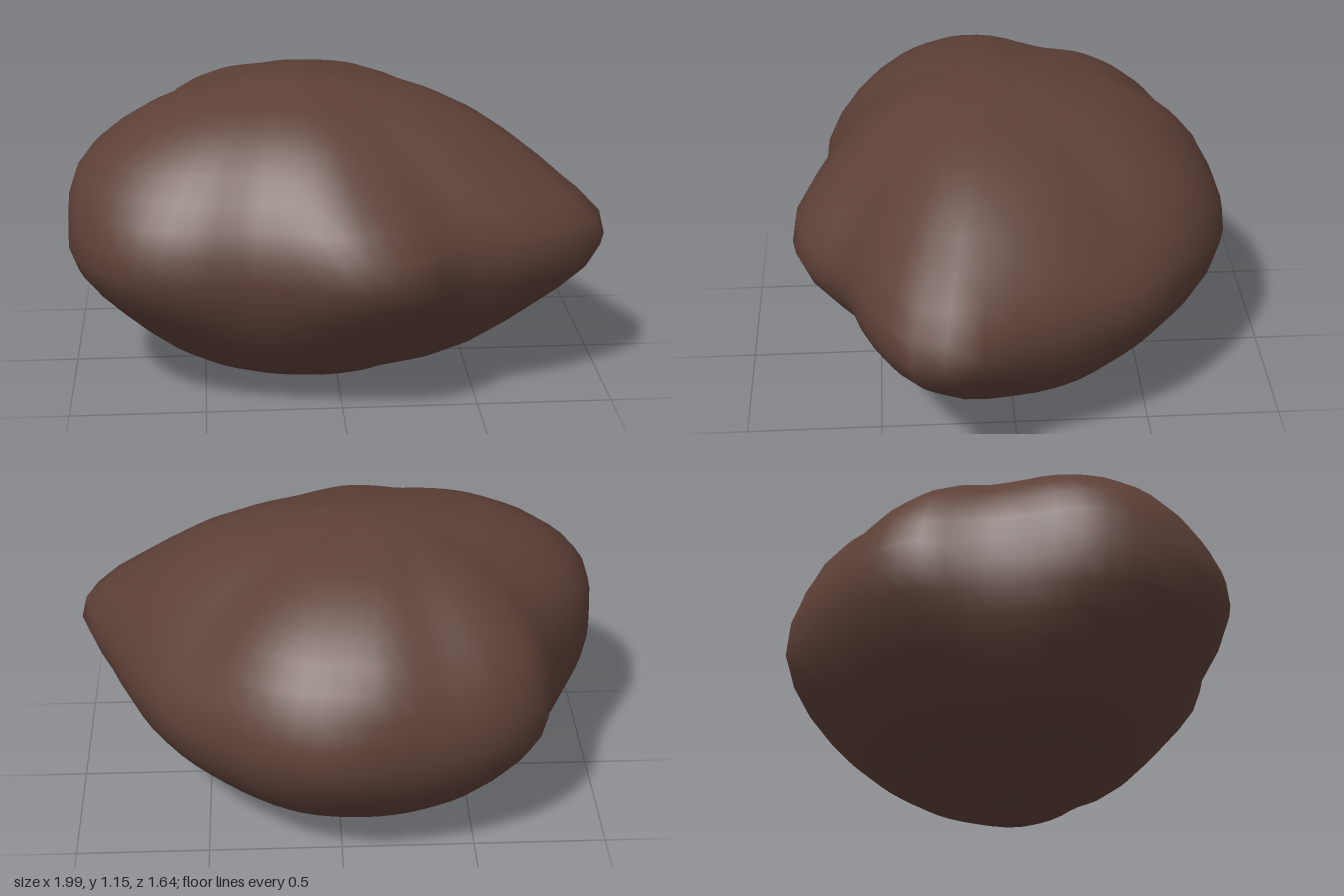
import * as THREE from 'three';
import { mergeVertices } from 'three/addons/utils/BufferGeometryUtils.js';

const HALF_HEIGHT = 0.575;

// Rock outlines at three levels: radius every 15 degrees, from +x towards +z
const UPPER = [
  1.0, 1.05, 0.92, 0.79, 0.745, 0.73, 0.69, 0.67, 0.74, 0.82, 0.89, 0.92,
  0.87, 0.77, 0.74, 0.81, 0.805, 0.785, 0.845, 0.865, 0.90, 0.895, 0.86, 0.92,
];
const WAIST = [
  1.06, 1.20, 1.02, 0.855, 0.865, 0.825, 0.735, 0.70, 0.78, 0.855, 0.875, 0.853,
  0.795, 0.715, 0.715, 0.79, 0.805, 0.80, 0.82, 0.877, 0.896, 0.908, 0.95, 0.978,
];
const LOWER = [
  1.0, 1.03, 0.92, 0.77, 0.74, 0.695, 0.67, 0.67, 0.69, 0.72, 0.75, 0.765,
  0.76, 0.73, 0.71, 0.73, 0.75, 0.76, 0.775, 0.80, 0.84, 0.86, 0.90, 0.96,
];

// Smooth periodic interpolation of an outline
function outlineRadius(outline, angle) {
  const n = outline.length;
  const t = (((angle / (2 * Math.PI)) % 1) + 1) % 1 * n;
  const i = Math.floor(t), f = t - i;
  const [a, b, c, d] = [-1, 0, 1, 2].map((k) => outline[(i + k + n) % n]);
  return b + 0.5 * f * (c - a + f * (2 * a - 5 * b + 4 * c - d + f * (3 * (b - c) + d - a)));
}

// Blend the outlines by height h, from -1 at the base to 1 at the top
function rockRadius(theta, h) {
  const up = THREE.MathUtils.smoothstep(h, 0.06, 0.62);
  const down = 1 - THREE.MathUtils.smoothstep(h, -0.62, 0.06);
  return outlineRadius(WAIST, theta) * (1 - up - down)
    + outlineRadius(UPPER, theta) * up + outlineRadius(LOWER, theta) * down;
}

// Ring latitudes in degrees, with wide steps next to the two flat caps
const RINGS = [0, 9, 27];
for (let p = 36; p <= 144; p += 9) RINGS.push(p);
RINGS.push(153, 171, 180);

function rockGeometry() {
  const rows = RINGS.length - 1;
  const sphere = new THREE.SphereGeometry(1, 60, rows);
  const pos = sphere.attributes.position, uv = sphere.attributes.uv;
  const capCos = Math.cos(THREE.MathUtils.degToRad(9));

  for (let i = 0; i < pos.count; i++) {
    const row = Math.round((1 - uv.getY(i)) * rows);
    const phi = THREE.MathUtils.degToRad(RINGS[row]);
    const s = row === 0 || row === rows ? 0 : Math.sin(phi);
    const h = THREE.MathUtils.clamp(Math.cos(phi) / capCos, -1, 1);
    const theta = Math.atan2(pos.getZ(i), pos.getX(i));
    const r = s * rockRadius(theta, h);

    // the axis leans slightly towards +x at the base
    const lean = 0.05 * Math.min(0, h) ** 2;
    pos.setXYZ(
      i,
      -0.17 + lean + r * Math.cos(theta),
      HALF_HEIGHT * (1 + h),
      0.02 + r * Math.sin(theta),
    );
  }

  // weld the seam so that the shading is continuous
  sphere.deleteAttribute('uv');
  sphere.deleteAttribute('normal');
  const geometry = mergeVertices(sphere, 1e-4);
  geometry.computeVertexNormals();
  return geometry;
}

export function createModel() {
  const group = new THREE.Group();
  group.name = 'boulder';
  const brown = new THREE.MeshStandardMaterial({ color: 0x5d4037 });
  brown.name = 'earth brown';
  const rock = new THREE.Mesh(rockGeometry(), brown);
  rock.name = 'rock';
  group.add(rock);
  return group;
}
